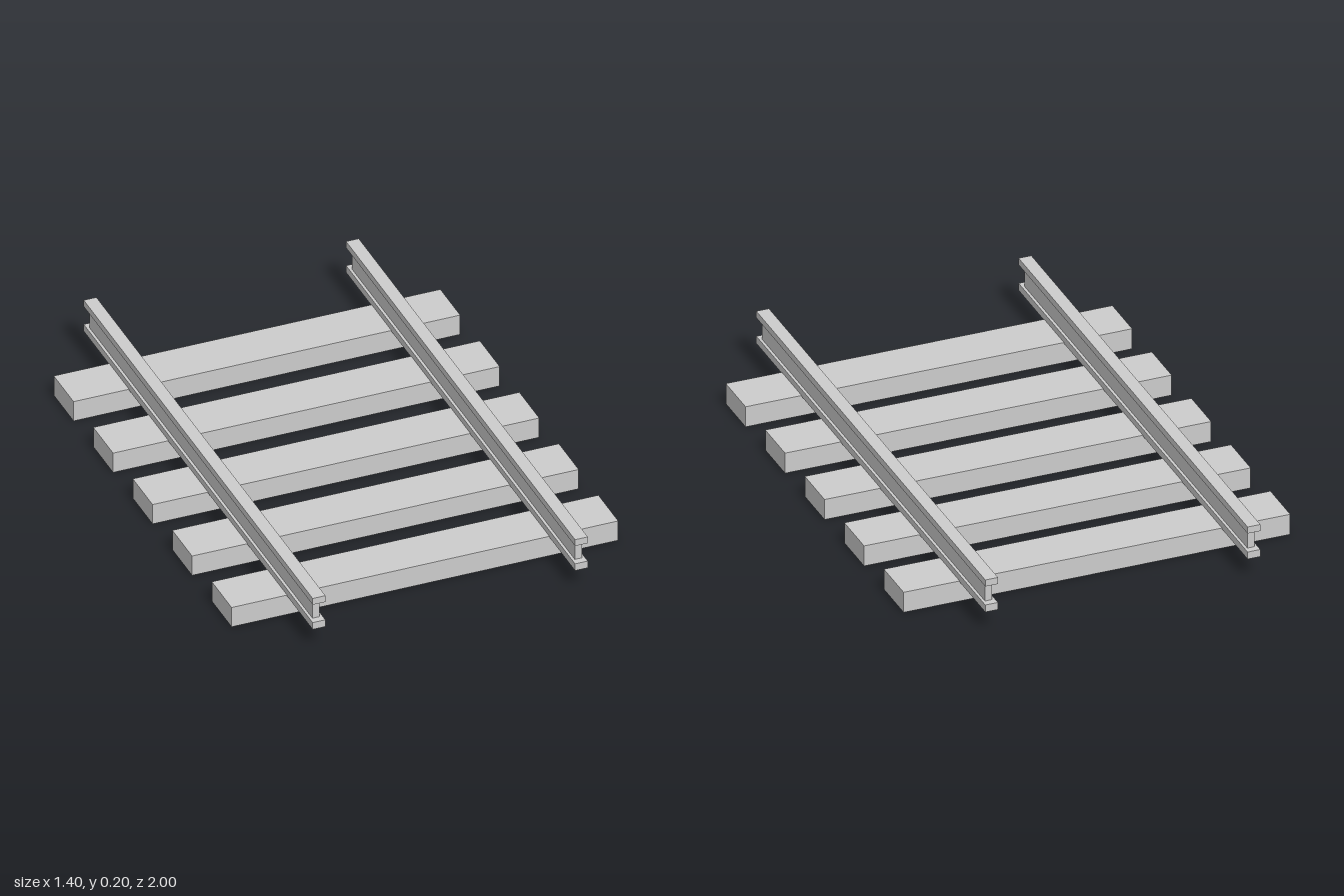
import * as THREE from 'three';

const material = new THREE.MeshStandardMaterial({ color: 0xcccccc, flatShading: true });

// Box given by its width, bottom, top and depth
function block(name, width, bottom, top, depth) {
  const mesh = new THREE.Mesh(new THREE.BoxGeometry(width, top - bottom, depth), material);
  mesh.name = name;
  mesh.position.y = (bottom + top) / 2;
  return mesh;
}

// I-shaped rail: the web stops short of the flange ends
function rail(name, x) {
  const group = new THREE.Group();
  group.name = name;
  group.add(
    block('railFoot', 0.046, 0.073, 0.1, 2),
    block('railWeb', 0.026, 0.1, 0.171, 1.948),
    block('railHead', 0.046, 0.171, 0.196, 2)
  );
  group.position.x = x;
  return group;
}

export function createModel() {
  const model = new THREE.Group();
  model.name = 'railwayTrack';

  // Five evenly spaced sleepers
  for (let i = -2; i <= 2; i++) {
    const sleeper = block('sleeper', 1.4, 0, 0.077, 0.173);
    sleeper.position.z = i * 0.345;
    model.add(sleeper);
  }

  model.add(rail('leftRail', 0.474), rail('rightRail', -0.476));
  return model;
}
